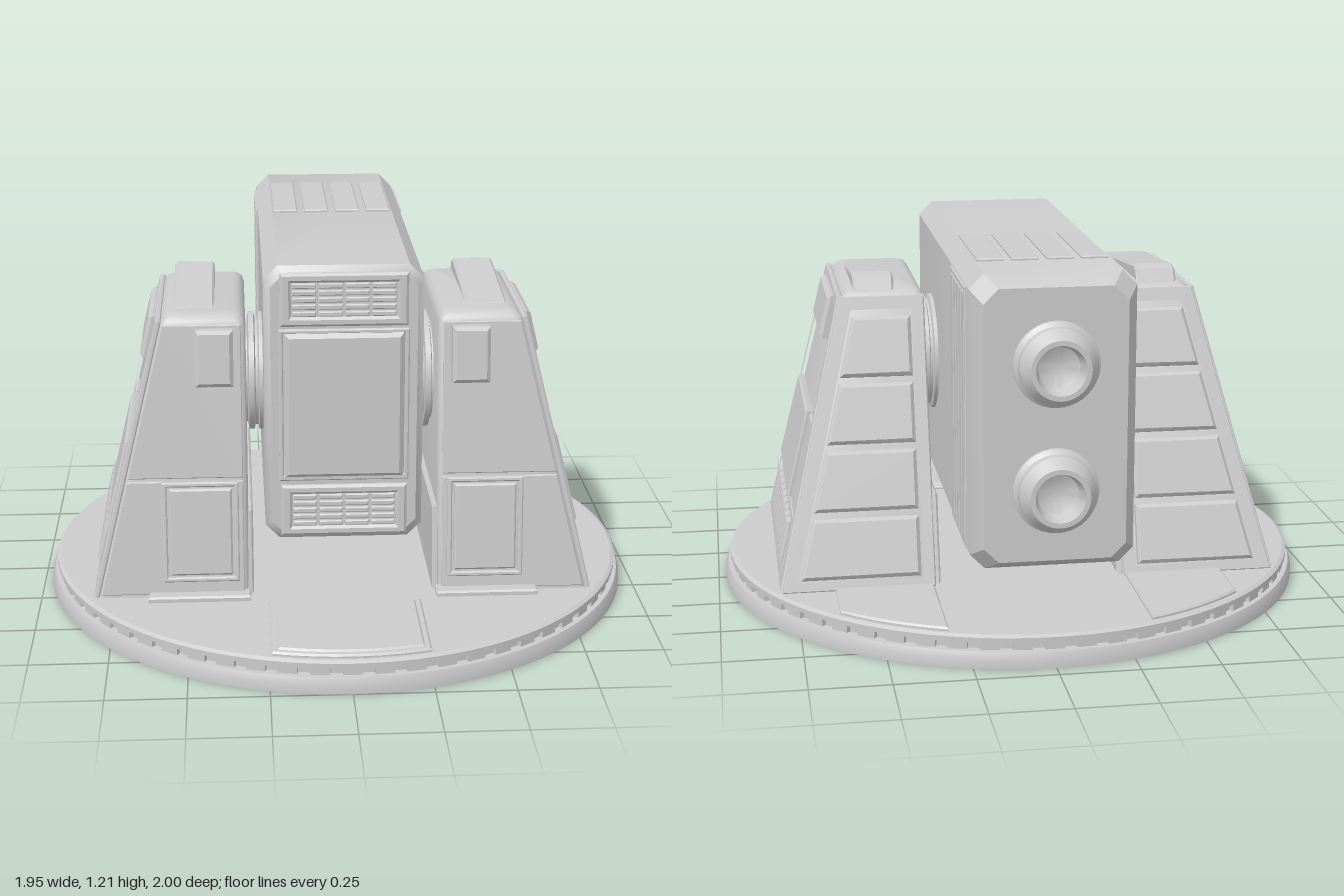
import * as THREE from 'three';
import { toCreasedNormals } from 'three/addons/utils/BufferGeometryUtils.js';

const mat = new THREE.MeshStandardMaterial({ color: 0xcccccc });
const V = (x, y, z) => new THREE.Vector3(x, y, z);
const add = (group, name, geo) => {
  const m = new THREE.Mesh(geo, mat);
  m.name = name;
  group.add(m);
  return m;
};

// A plane for panels. Outlines are given in model coordinates:
// (z, y) on side faces, (x, y) on front/back faces, (x, z) on level faces.
function face(n, p) {
  n.normalize();
  const level = Math.abs(n.y) > 0.9;
  const s = level ? V(1, 0, 0) : V(0, 1, 0).cross(n).normalize();
  const t = n.clone().cross(s);
  const o = p.clone().addScaledVector(s, -p.dot(s));
  return {
    matrix: new THREE.Matrix4().makeBasis(s, t, n).setPosition(o),
    map: ([a, b]) => new THREE.Vector2(a * (s.x + s.z), level ? b * t.z : (b - p.y) / t.y),
  };
}

// Bevelled plate standing d proud of a face
function plate(f, pts, d, hole, bevel = 0.006) {
  const shape = new THREE.Shape(pts.map(f.map));
  if (hole) shape.holes.push(new THREE.Path(hole.map(f.map)));
  return new THREE.ExtrudeGeometry(shape, {
    depth: d - bevel, bevelThickness: bevel, bevelSize: bevel, bevelOffset: -bevel, bevelSegments: 1,
  }).applyMatrix4(f.matrix);
}
const rect = (a0, a1, b0, b1) => [[a0, b0], [a1, b0], [a1, b1], [a0, b1]];

// Counter-clockwise rectangle with rounded (n > 1) or chamfered (n = 1) corners
function roundRect(u0, u1, v0, v1, r, n) {
  const pts = [];
  [[u1 - r, v1 - r], [u0 + r, v1 - r], [u0 + r, v0 + r], [u1 - r, v0 + r]].forEach(([cu, cv], q) => {
    for (let i = 0; i <= n; i++) {
      const a = (q + i / n) * Math.PI / 2;
      pts.push([cu + r * Math.cos(a), cv + r * Math.sin(a)]);
    }
  });
  return pts;
}

// Closed solid through a list of equal-length sections
function loft(rings) {
  const pos = [], k = rings[0].length;
  const tri = (a, b, c) => pos.push(...a, ...b, ...c);
  for (let j = 0; j + 1 < rings.length; j++) {
    for (let i = 0; i < k; i++) {
      const a = rings[j][i], b = rings[j][(i + 1) % k], c = rings[j + 1][(i + 1) % k], d = rings[j + 1][i];
      tri(a, b, c);
      tri(a, c, d);
    }
  }
  const first = rings[0], last = rings[rings.length - 1];
  for (let i = 1; i + 1 < k; i++) {
    tri(first[0], first[i + 1], first[i]);
    tri(last[0], last[i], last[i + 1]);
  }
  const g = new THREE.BufferGeometry();
  g.setAttribute('position', new THREE.Float32BufferAttribute(pos, 3));
  return toCreasedNormals(g, 0.6);
}

// Copy reflected in x, with the corner order put right
function mirrored(geo) {
  const g = (geo.index ? geo.toNonIndexed() : geo.clone()).scale(-1, 1, 1);
  for (const at of Object.values(g.attributes)) {
    const { array: a, itemSize: n } = at;
    for (let i = 0; i < a.length; i += 3 * n) {
      for (let j = 0; j < n; j++) [a[i + n + j], a[i + 2 * n + j]] = [a[i + 2 * n + j], a[i + n + j]];
    }
  }
  return g;
}

const lathe = (pts, seg) =>
  toCreasedNormals(new THREE.LatheGeometry(pts.map(p => new THREE.Vector2(...p)), seg), 0.5);

const CZ = 0.025; // centre of the base disc
const arcZ = (x, r, dir) => CZ + dir * Math.sqrt(r * r - x * x);

function makeBase() {
  const g = new THREE.Group();
  g.name = 'base';
  add(g, 'baseDisc', lathe([[0, 0], [0.975, 0], [0.975, 0.03], [0.966, 0.052], [0.935, 0.052],
    [0.935, 0.078], [0.957, 0.078], [0.957, 0.093], [0.945, 0.1], [0, 0.1]], 96)).position.z = CZ;
  // blocks in the rim groove
  for (let i = 0; i < 60; i++) {
    const a = i / 60 * Math.PI * 2;
    const b = add(g, 'rimBlock', new THREE.BoxGeometry(0.06, 0.03, 0.025));
    b.position.set(0.937 * Math.sin(a), 0.065, CZ + 0.937 * Math.cos(a));
    b.rotation.y = a;
  }
  // floor plates with an edge following the rim
  const floor = face(V(0, 1, 0), V(0, 0.1, 0));
  const rimPlate = (name, x0, x1, z, r, dir, d) => {
    const pts = [[x1, z], [x0, z]];
    for (let i = 0; i <= 10; i++) {
      const x = x0 + (x1 - x0) * i / 10;
      pts.push([x, arcZ(x, r, dir)]);
    }
    add(g, name, plate(floor, pts, d));
  };
  rimPlate('frontFloorPlate', -0.245, 0.245, 0.56, 0.935, 1, 0.012);
  rimPlate('frontFloorInset', -0.225, 0.225, 0.58, 0.915, 1, 0.018);
  for (const s of [-1, 1]) {
    rimPlate('rearFloorPlate', ...[0.315 * s, 0.63 * s].sort((a, b) => a - b), -0.4, 0.935, -1, 0.012);
    add(g, 'towerSill', plate(floor, rect(0.3 * s, 0.63 * s, 0.4, 0.53), 0.018));
  }
  return g;
}

function makeTower() {
  const g = new THREE.Group();
  g.name = 'leftTower';
  const k = y => (y - 0.1) / 0.92;
  const xo = y => 0.805 - 0.225 * k(y), zf = y => 0.49 - 0.09 * k(y), zb = y => -0.466 + 0.286 * k(y);
  // core with a rounded top
  add(g, 'towerCore', loft([[0.1, 0], [0.98, 0], [1.0, 0.006], [1.014, 0.018], [1.02, 0.035]].map(([y, i]) =>
    roundRect(zb(y) + 0.008 + i, zf(y) - 0.008 - i, 0.305 + i, xo(y) - 0.01 - i, 0.025, 4).map(([z, x]) => [x, y, z]))));

  const outer = face(V(0.92, 0.225, 0), V(0.794, 0.1, 0));
  const front = face(V(0, 0.09, 0.92), V(0, 0.1, 0.482));
  const back = face(V(0, 0.286, -0.92), V(0, 0.1, -0.458));
  const side = (y0, y1, m) => [[zf(y0) - m, y0], [zf(y1) - m, y1], [zb(y1) + m, y1], [zb(y0) + m, y0]];
  const end = (y0, y1, m, x0) => [[x0, y0], [xo(y0) - m, y0], [xo(y1) - m, y1], [x0, y1]];

  // outer face: frame, hatch, middle plates and louvres
  add(g, 'outerFrame', plate(outer, side(0.1, 1.0, 0.005), 0.014, side(0.14, 0.97, 0.04), 0.004));
  add(g, 'outerHatch', plate(outer, rect(-0.09, 0.28, 0.84, 0.98), 0.035, null, 0.012));
  add(g, 'outerMiddlePlate', plate(outer, [[zf(0.31) - 0.045, 0.31], [zf(0.6) - 0.045, 0.6], [-0.11, 0.6], [-0.11, 0.31]], 0.024));
  add(g, 'outerRearPlate', plate(outer, [[-0.125, 0.31], [-0.125, 0.6], [zb(0.6) + 0.045, 0.6], [zb(0.31) + 0.045, 0.31]], 0.012));
  add(g, 'louvreFrame', plate(outer, rect(-0.33, 0.37, 0.14, 0.305), 0.012, rect(-0.31, 0.35, 0.155, 0.29), 0.003));
  for (let i = 0; i < 9; i++) {
    const z = -0.305 + i * 0.073;
    add(g, 'louvre', plate(outer, rect(z, z + 0.055, 0.158, 0.287), 0.026, null, 0.01));
  }

  // front face: lower door, split line and upper box
  add(g, 'frontUpperPlate', plate(front, end(0.495, 0.99, 0.02, 0.32), 0.008, null, 0.003));
  add(g, 'frontLowerPlate', plate(front, end(0.11, 0.485, 0.02, 0.32), 0.008, null, 0.003));
  add(g, 'frontDoorFrame', plate(front, rect(0.335, 0.58, 0.155, 0.485), 0.024, rect(0.35, 0.565, 0.17, 0.47), 0.004));
  add(g, 'frontDoor', plate(front, rect(0.357, 0.558, 0.177, 0.463), 0.024));
  add(g, 'frontBox', plate(front, rect(0.345, 0.465, 0.8, 0.98), 0.058, null, 0.012));

  // rear face: frame and four stacked panels
  add(g, 'rearFrame', plate(back, end(0.1, 1.0, 0.005, 0.31), 0.01, end(0.125, 0.96, 0.045, 0.345), 0.003));
  for (let i = 0; i < 4; i++) {
    const y = 0.135 + i * 0.205;
    add(g, 'rearPanel', plate(back, end(y, y + 0.185, 0.055, 0.355), 0.028, null, 0.012));
  }

  // inner skirt and sloped cap
  add(g, 'innerSkirt', plate(face(V(-1, 0, 0), V(0.306, 0, 0)),
    [[0.47, 0.1], [0.44, 0.38], [-0.36, 0.38], [-0.44, 0.1]], 0.016));
  add(g, 'topCap', plate(face(V(1, 0, 0), V(0.41, 0, 0)), [[0.34, 1.0], [0.3, 1.022], [-0.1, 1.065], [-0.14, 1.055], [-0.165, 1.0]], 0.125, null, 0.008));
  return g;
}

function makeGun() {
  const g = new THREE.Group();
  g.name = 'gunHousing';
  // chamfered body
  add(g, 'housingBody', loft([[-0.91, 0.035], [-0.85, 0], [0.47, 0], [0.492, 0.02]].map(([z, i]) =>
    roundRect(-0.25 + i, 0.25 - i, 0.295 + i, 1.198 - i, 0.045, 1).map(([x, y]) => [x, y, z]))));

  // front: central raised panel between two grilles
  const front = face(V(0, 0, 1), V(0, 0, 0.49));
  add(g, 'frontPanelFrame', plate(front, rect(-0.205, 0.205, 0.5, 1.0), 0.012, rect(-0.19, 0.19, 0.52, 0.985), 0.004));
  add(g, 'frontPanel', plate(front, rect(-0.19, 0.19, 0.51, 0.99), 0.024, null, 0.016));
  for (const y of [0.4, 1.095]) {
    add(g, 'grilleFrame', plate(front, rect(-0.2, 0.2, y - 0.085, y + 0.085), 0.018, rect(-0.165, 0.165, y - 0.055, y + 0.055), 0.008));
    for (let i = 0; i < 5; i++) for (let j = 0; j < 4; j++) {
      const x = -0.162 + j * 0.083, b = y - 0.054 + i * 0.0225;
      add(g, 'grilleSlat', plate(front, rect(x, x + 0.074, b, b + 0.016), 0.013, null, 0.003));
    }
  }

  // upright slats on both sides
  for (const s of [-1, 1]) {
    const side = face(V(s, 0, 0), V(0.249 * s, 0, 0));
    add(g, 'slatFrame', plate(side, rect(-0.81, -0.475, 0.345, 1.15), 0.008, rect(-0.8, -0.485, 0.355, 1.14), 0.003));
    for (let i = 0; i < 5; i++) {
      const z = -0.797 + i * 0.063;
      add(g, 'sideSlat', plate(side, rect(z, z + 0.048, 0.36, 1.135), 0.01, null, 0.004));
    }
    // strips on top and underneath
    const level = face(V(0, s, 0), V(0, s > 0 ? 1.197 : 0.296, 0));
    for (let i = 0; i < 4; i++) {
      const x = -0.2 + i * 0.106;
      add(g, s > 0 ? 'topStrip' : 'bottomStrip', plate(level, rect(x, x + 0.082, -0.67, -0.235), 0.01, null, 0.004));
    }
  }

  // hollow rear nozzles
  for (const y of [0.55, 0.935]) {
    const n = add(g, 'nozzle', lathe([[0.13, -0.005], [0.13, 0.012], [0.117, 0.022], [0.117, 0.05], [0.09, 0.09],
      [0.075, 0.09], [0.062, 0.045], [0.03, 0.03], [0, 0.03]], 40));
    n.rotation.x = -Math.PI / 2;
    n.position.set(0, y, -0.91);
  }
  return g;
}

// Ribbed axle joining the housing to the towers
function makeAxle() {
  const half = [[0.17, 0.24], [0.195, 0.245], [0.195, 0.262], [0.18, 0.266], [0.18, 0.274], [0.195, 0.278], [0.195, 0.295], [0.17, 0.3], [0.17, 0.32], [0, 0.32]];
  const pts = [...half.map(([r, h]) => [r, -h]).reverse(), ...half];
  const m = new THREE.Mesh(lathe(pts, 48), mat);
  m.name = 'axle';
  m.rotation.z = Math.PI / 2;
  m.position.set(0, 0.745, 0.105);
  return m;
}

export function createModel() {
  const model = new THREE.Group();
  model.name = 'turret';
  const left = makeTower(), right = new THREE.Group();
  right.name = 'rightTower';
  left.children.forEach(m => add(right, m.name, mirrored(m.geometry)));
  model.add(makeBase(), left, right, makeAxle(), makeGun());
  return model;
}
